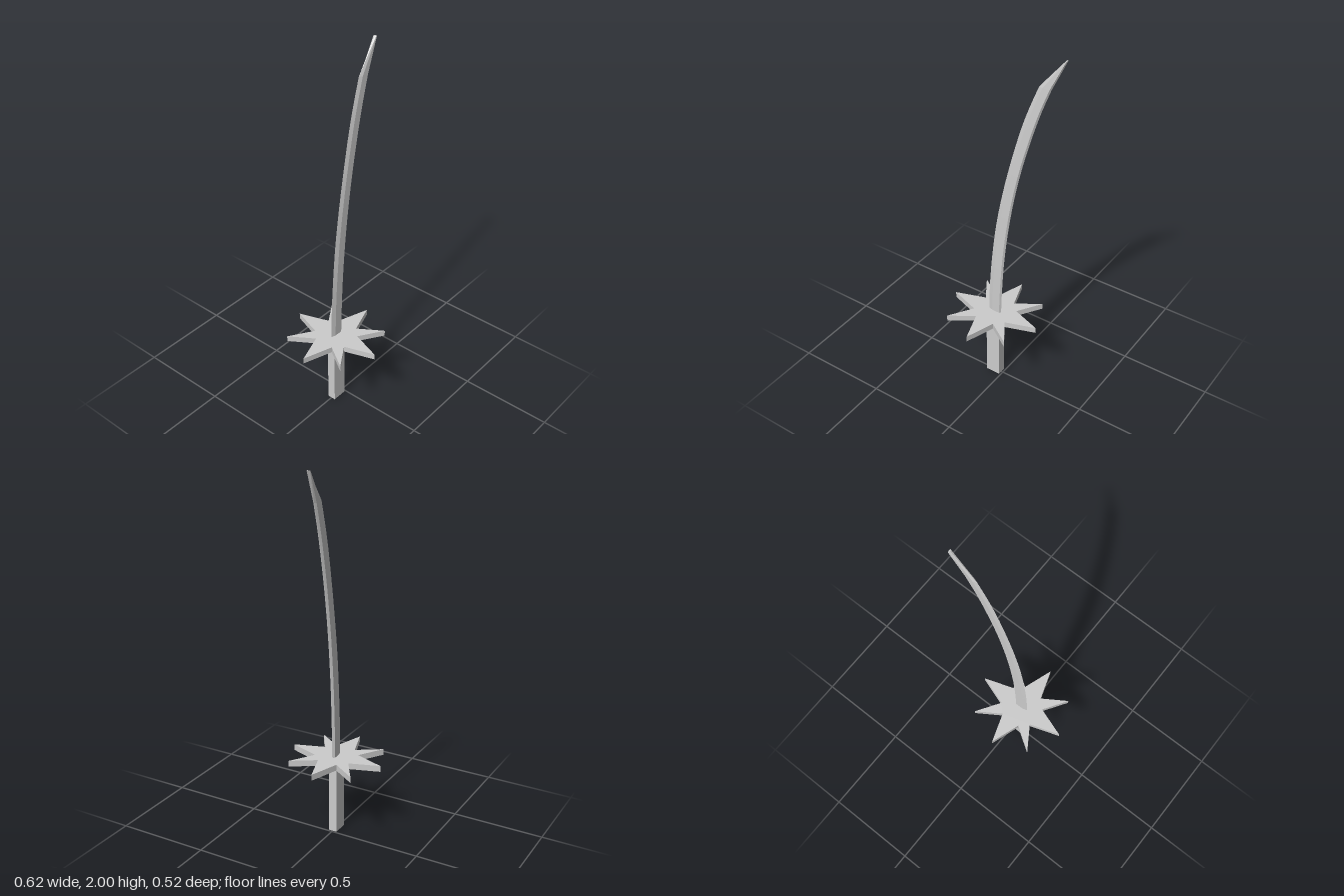
import * as THREE from 'three';

const material = new THREE.MeshStandardMaterial({ color: 0xcccccc, flatShading: true, side: THREE.DoubleSide });
const CENTRE_X = -0.05;

// Blade outline: height, cutting edge x, spine x
const OUTLINE = [
  [0.41, -0.089, -0.012], [0.6, -0.083, -0.005], [0.8, -0.068, 0.008],
  [1.0, -0.045, 0.03], [1.2, -0.01, 0.061], [1.4, 0.034, 0.103],
  [1.6, 0.086, 0.156], [1.72, 0.125, 0.193], [1.84, 0.17, 0.236], [2.0, 0.299, 0.307],
];

// Curved blade: thin cross-sections joined in loops, leaning back toward the tip
function bladeGeometry() {
  const edge = new THREE.CatmullRomCurve3(OUTLINE.slice(0, -1).map(([y, e]) => new THREE.Vector3(e, y, 0)));
  const spine = new THREE.CatmullRomCurve3(OUTLINE.slice(0, -1).map(([y, , s]) => new THREE.Vector3(s, y, 0)));
  const rows = [];
  const steps = 24;
  for (let i = 0; i <= steps; i++) {
    const a = edge.getPoint(i / steps), b = spine.getPoint(i / steps);
    rows.push([a.y, a.x, b.x]);
  }
  rows.push(OUTLINE[OUTLINE.length - 1]);

  // Section counter-clockwise from above: share of width, half thickness
  const section = [[0, 0], [0.32, 0.008], [0.9, 0.009], [1, 0], [0.9, -0.009], [0.32, -0.008]];
  const n = section.length;
  const positions = [], index = [];
  rows.forEach(([y, e, s], i) => {
    const lean = -0.17 * (s + 0.012);
    for (const [u, t] of section) positions.push(e + (s - e) * u, y, t + lean);
    if (i === 0) return;
    for (let j = 0; j < n; j++) {
      const a = (i - 1) * n + j, b = (i - 1) * n + (j + 1) % n;
      index.push(a, b, b + n, a, b + n, a + n);
    }
  });
  const top = (rows.length - 1) * n;
  for (let j = 1; j < n - 1; j++) {
    index.push(0, j + 1, j, top, top + j, top + j + 1);
  }
  const geometry = new THREE.BufferGeometry();
  geometry.setAttribute('position', new THREE.Float32BufferAttribute(positions, 3));
  geometry.setIndex(index);
  geometry.computeVertexNormals();
  return geometry;
}

// Eight-pointed star guard, with the four axis points broader than the diagonals
function guardGeometry() {
  const points = [];
  const polar = (r, degrees) => {
    const a = THREE.MathUtils.degToRad(degrees);
    points.push(new THREE.Vector2(r * Math.cos(a), r * Math.sin(a)));
  };
  for (let q = 0; q < 360; q += 90) {
    polar(0.26, q);
    polar(0.114, q + 28.7);
    polar(0.26, q + 45);
    polar(0.114, q + 61.3);
  }
  const geometry = new THREE.ExtrudeGeometry(new THREE.Shape(points), { depth: 0.033, bevelEnabled: false });
  return geometry.rotateX(-Math.PI / 2);
}

export function createModel() {
  const sword = new THREE.Group();
  sword.name = 'sword';
  const add = (name, geometry, x, y) => {
    const mesh = new THREE.Mesh(geometry, material);
    mesh.name = name;
    mesh.position.set(x, y, 0);
    sword.add(mesh);
  };
  add('handle', new THREE.BoxGeometry(0.082, 0.41, 0.046), CENTRE_X, 0.205);
  add('guard', guardGeometry(), CENTRE_X, 0.402);
  add('blade', bladeGeometry(), 0, 0);
  return sword;
}
